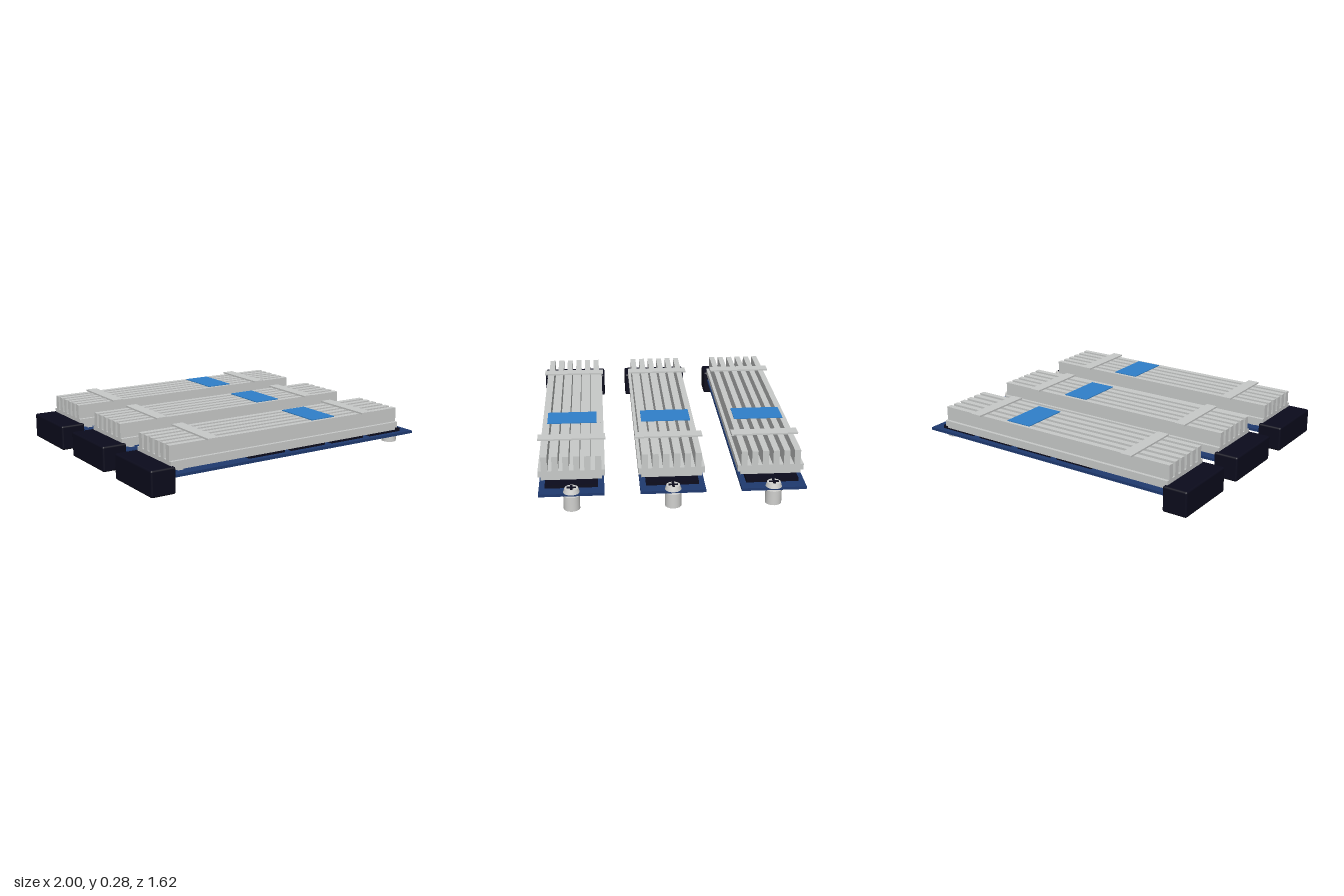
import * as THREE from 'three';
import { RoundedBoxGeometry } from 'three/addons/geometries/RoundedBoxGeometry.js';

const mat = (name, color) => {
  const m = new THREE.MeshStandardMaterial({ color });
  m.name = name;
  return m;
};

export function createModel() {
  const aluminium = mat('aluminium', 0xc8cac9);
  const steel = mat('steel', 0xd0d0ce);
  const board = mat('board blue', 0x1f3a70);
  const black = mat('black plastic', 0x0b0b1c);
  const blue = mat('label blue', 0x3080ca);
  const contact = mat('contact metal', 0xb8b09a);

  const add = (group, name, geometry, material, x = 0, y = 0, z = 0) => {
    const m = new THREE.Mesh(geometry, material);
    m.name = name;
    m.position.set(x, y, z);
    group.add(m);
    return m;
  };
  // Box given by its extents in x and y, and depth in z
  const slab = (group, name, material, x0, x1, y0, y1, depth, z = 0) =>
    add(group, name, new THREE.BoxGeometry(x1 - x0, y1 - y0, depth), material, (x0 + x1) / 2, (y0 + y1) / 2, z);

  // Comb-shaped heatsink section: stepped foot, base and six fins
  const section = new THREE.Shape();
  section.moveTo(-0.18, 0.128);
  section.lineTo(0.18, 0.128);
  section.lineTo(0.18, 0.147);
  section.lineTo(0.197, 0.147);
  section.lineTo(0.197, 0.185);
  const fins = 6, finWidth = 0.037, pitch = 0.0634;
  for (let i = fins - 1; i >= 0; i--) {
    const c = (i - (fins - 1) / 2) * pitch;
    section.lineTo(c + finWidth / 2, 0.185);
    section.lineTo(c + finWidth / 2, 0.275);
    section.lineTo(c - finWidth / 2, 0.275);
    section.lineTo(c - finWidth / 2, 0.185);
  }
  section.lineTo(-0.197, 0.185);
  section.lineTo(-0.197, 0.147);
  section.lineTo(-0.18, 0.147);
  const sinkGeometry = new THREE.ExtrudeGeometry(section, { depth: 1.695, bevelEnabled: false });
  sinkGeometry.rotateY(Math.PI / 2);

  const model = new THREE.Group();
  model.name = 'driveModules';
  [-0.59, 0, 0.59].forEach((z, n) => {
    const g = new THREE.Group();
    g.name = 'driveModule' + (n + 1);
    g.position.z = z;
    model.add(g);

    // Socket and circuit board
    add(g, 'socket', new RoundedBoxGeometry(0.16, 0.16, 0.436, 2, 0.012), black, -0.92, 0.08, 0);
    slab(g, 'socketLip', black, -0.845, -0.825, 0.085, 0.112, 0.36);
    slab(g, 'circuitBoard', board, -0.86, 0.975, 0.088, 0.105, 0.382);
    for (let i = 0; i < 18; i++) {
      if (i === 5) continue;
      slab(g, 'contact', contact, -0.828, -0.812, 0.0865, 0.088, 0.011, (i - 8.5) * 0.019);
    }

    // Chips beneath the heatsink
    slab(g, 'controllerChip', black, -0.48, -0.34, 0.105, 0.12, 0.2);
    [-0.3, 0.01, 0.325, 0.64].forEach((x) => slab(g, 'memoryChip', black, x, x + 0.26, 0.105, 0.126, 0.31));
    slab(g, 'powerPart', aluminium, -0.73, -0.51, 0.105, 0.128, 0.2);
    for (const s of [-1, 1]) slab(g, 'capacitor', steel, -0.775, -0.74, 0.105, 0.122, 0.02, s * 0.12);

    // Heatsink, retaining straps and label
    add(g, 'heatsink', sinkGeometry, aluminium, -0.86);
    slab(g, 'rearStrap', aluminium, -0.62, -0.545, 0.275, 0.285, 0.41);
    slab(g, 'frontStrap', aluminium, 0.525, 0.6, 0.275, 0.285, 0.41);
    slab(g, 'label', blue, 0.165, 0.34, 0.275, 0.28, 0.31);

    // Standoff and cross-head screw
    add(g, 'standoff', new THREE.CylinderGeometry(0.048, 0.048, 0.088, 32), steel, 0.95, 0.044);
    add(g, 'screwHead', new THREE.CylinderGeometry(0.04, 0.048, 0.026, 32), steel, 0.95, 0.118);
    slab(g, 'screwSlotAcross', black, 0.922, 0.978, 0.13, 0.136, 0.014);
    slab(g, 'screwSlotAlong', black, 0.943, 0.957, 0.13, 0.1355, 0.056);
  });
  return model;
}
